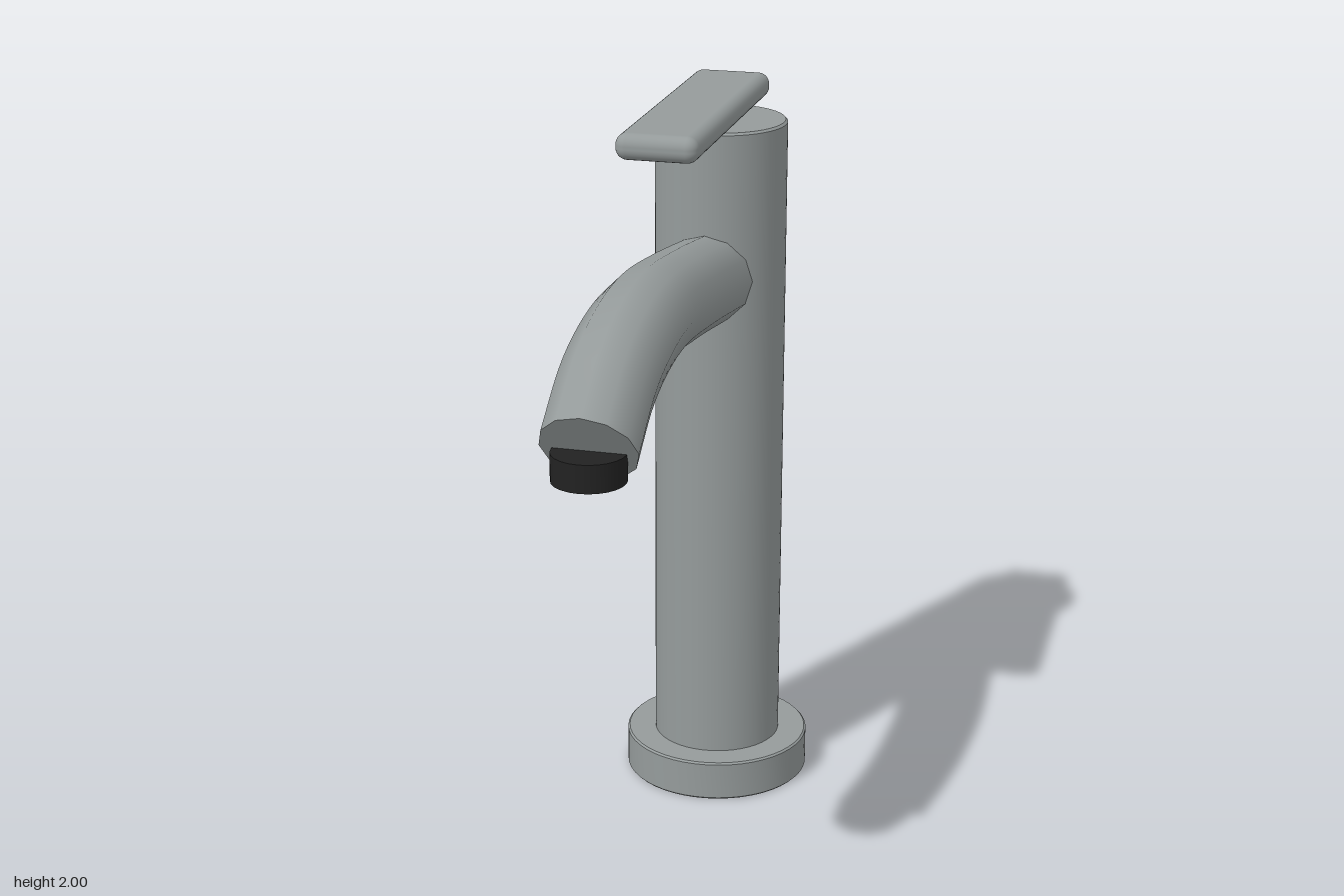
import * as THREE from 'three';
import { toCreasedNormals } from 'three/addons/utils/BufferGeometryUtils.js';
import { RoundedBoxGeometry } from 'three/addons/geometries/RoundedBoxGeometry.js';

const COLUMN_Z = -0.54;

// Upright solid of revolution with a fine bevel on its rims
function bevelledCylinder(radius, y0, y1, bevel, segments = 48) {
  const profile = [
    [0, y0], [radius - bevel, y0], [radius, y0 + bevel],
    [radius, y1 - bevel], [radius - bevel, y1], [0, y1],
  ].map(([r, y]) => new THREE.Vector2(r, y));
  return toCreasedNormals(new THREE.LatheGeometry(profile, segments), 0.6);
}

export function createModel() {
  const metal = new THREE.MeshStandardMaterial({ color: 0x959b9b });
  metal.name = 'brushed metal';
  const black = new THREE.MeshStandardMaterial({ color: 0x222222 });
  black.name = 'black rubber';

  const model = new THREE.Group();
  model.name = 'faucet';
  const add = (name, geometry, material, x = 0, y = 0, z = 0) => {
    const mesh = new THREE.Mesh(geometry, material);
    mesh.name = name;
    mesh.position.set(x, y, z);
    model.add(mesh);
    return mesh;
  };

  // Base flange and column
  add('base', bevelledCylinder(0.257, 0, 0.113, 0.005), metal, 0, 0, COLUMN_Z);
  add('column', bevelledCylinder(0.177, 0.1, 1.895, 0.006), metal, 0, 0, COLUMN_Z);

  // Flat lever floating just above the column
  add('lever', new RoundedBoxGeometry(0.21, 0.067, 0.805, 4, 0.03), metal, 0, 1.9665, -0.267);

  // Curved spout
  const path = new THREE.CatmullRomCurve3([
    [1.47, -0.54], [1.502, -0.34], [1.545, -0.05], [1.572, 0.22],
    [1.557, 0.4], [1.508, 0.56], [1.405, 0.71],
  ].map(([y, z]) => new THREE.Vector3(0, y, z)));
  add('spout', new THREE.TubeGeometry(path, 32, 0.12, 12), metal);

  // Closed, slanted end of the spout
  const end = add('spoutEnd', new THREE.CircleGeometry(0.12, 12), metal);
  end.position.copy(path.getPoint(1));
  end.lookAt(end.position.clone().add(path.getTangent(1)));

  // Water outlet
  add('aerator', new THREE.CylinderGeometry(0.09, 0.09, 0.07, 24), black, 0, 1.365, 0.71);

  return model;
}
